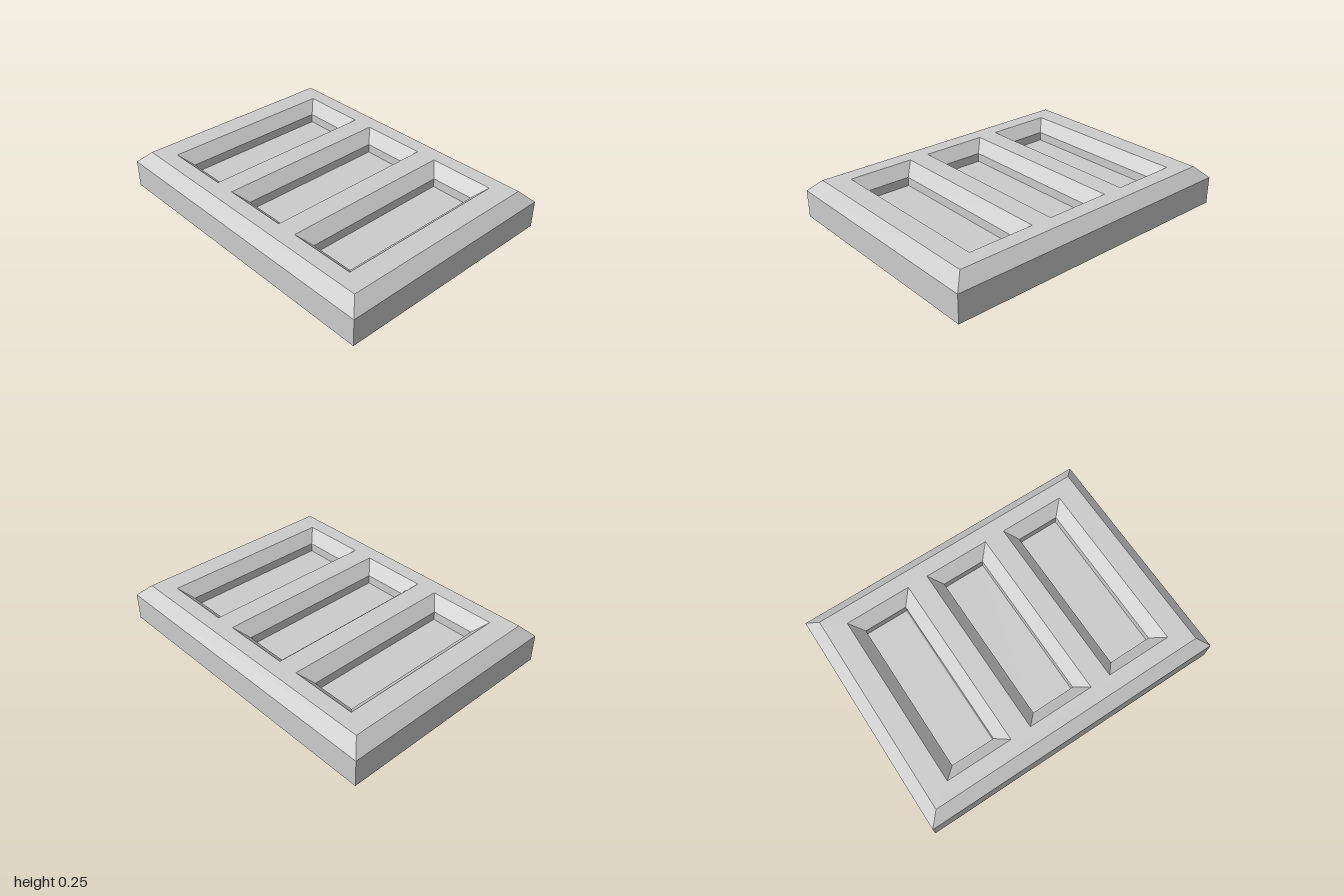
import * as THREE from 'three';

const material = new THREE.MeshStandardMaterial({
  color: 0xcccccc, flatShading: true, side: THREE.DoubleSide,
});

const HEIGHT = 0.25, RIM = 0.177, FLOOR = 0.12;
const RECESS_X = [-0.57, 0, 0.57];
const RECESS = [0.217, 0.575]; // half width and half length at the top
const PANEL = [0.143, 0.5];    // half width and half length at the floor

// Corners of a rectangle, counter-clockwise seen from above
const corners = (w, d) => [[w, d], [w, -d], [-w, -d], [-w, d]];

// Joins rectangles [halfWidth, halfDepth, y] with flat sides;
// rising sections face outward, falling ones face inward
function loft(sections) {
  const positions = [];
  for (let s = 0; s < sections.length - 1; s++) {
    const [low, high] = [sections[s], sections[s + 1]].map(([w, d, y]) =>
      corners(w, d).map(([x, z]) => [x, y, z]));
    for (let i = 0; i < 4; i++) {
      const j = (i + 1) % 4;
      positions.push(...low[i], ...low[j], ...high[j], ...low[i], ...high[j], ...high[i]);
    }
  }
  const geometry = new THREE.BufferGeometry();
  geometry.setAttribute('position', new THREE.Float32BufferAttribute(positions, 3));
  geometry.computeVertexNormals();
  return geometry;
}

function part(name, geometry, parent) {
  const mesh = new THREE.Mesh(geometry, material);
  mesh.name = name;
  parent.add(mesh);
  return mesh;
}

export function createModel() {
  const model = new THREE.Group();
  model.name = 'recessedPanel';

  // Upright sides and chamfered rim, open underneath
  part('outerRim', loft([[1, 0.75, 0], [1, 0.75, RIM], [0.925, 0.675, HEIGHT]]), model);

  // Flat top with three openings
  const points = (w, d, cx = 0) => corners(w, d).map(([x, y]) => new THREE.Vector2(x + cx, y));
  const face = new THREE.Shape(points(0.925, 0.675));
  for (const x of RECESS_X) face.holes.push(new THREE.Path(points(...RECESS, x)));
  part('topFrame', new THREE.ShapeGeometry(face).rotateX(-Math.PI / 2), model).position.y = HEIGHT;

  // Recesses: sloped edge, short upright wall, flat floor
  RECESS_X.forEach((x, i) => {
    const recess = new THREE.Group();
    recess.name = 'recess' + (i + 1);
    recess.position.x = x;
    part('recessWalls', loft([[...RECESS, HEIGHT], [...PANEL, RIM], [...PANEL, FLOOR]]), recess);
    const floor = new THREE.PlaneGeometry(PANEL[0] * 2, PANEL[1] * 2).rotateX(-Math.PI / 2);
    part('recessFloor', floor, recess).position.y = FLOOR;
    model.add(recess);
  });

  return model;
}
